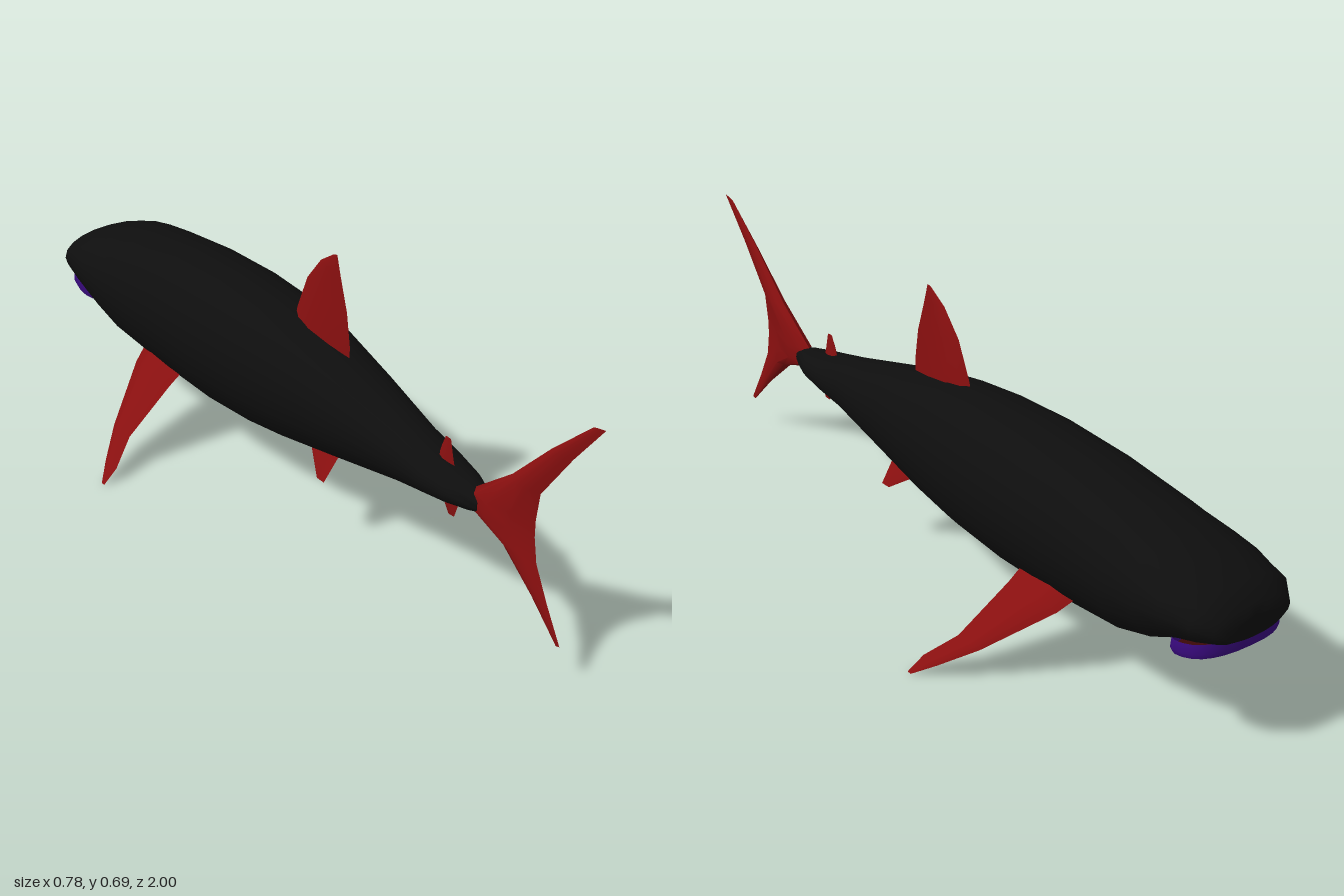
import * as THREE from 'three';
import { mergeVertices, toCreasedNormals } from 'three/addons/utils/BufferGeometryUtils.js';

const mat = (name, color, side = THREE.FrontSide) => {
  const m = new THREE.MeshStandardMaterial({ color, side });
  m.name = name;
  return m;
};

// Skins equal-sized closed rings of [x, y, z] points and caps both ends.
function loft(rings, crease = 0.7, caps = true) {
  const n = rings[0].length;
  const pos = rings.flat(2);
  const idx = [];
  for (let r = 0; r < rings.length - 1; r++) {
    for (let i = 0; i < n; i++) {
      const a = r * n + i, b = r * n + (i + 1) % n;
      idx.push(a, b, a + n, b, b + n, a + n);
    }
  }
  const last = (rings.length - 1) * n;
  if (caps) {
    for (let i = 1; i < n - 1; i++) {
      idx.push(0, i + 1, i, last, last + i, last + i + 1);
    }
  }
  // Turn the faces outward whichever way the rings run.
  const p = (i) => new THREE.Vector3().fromArray(pos, i * 3);
  const mid = new THREE.Vector3();
  for (let i = 0; i < pos.length / 3; i++) mid.addScaledVector(p(i), 3 / pos.length);
  let volume = 0;
  for (let i = 0; i < idx.length; i += 3) {
    const [a, b, c] = [0, 1, 2].map((k) => p(idx[i + k]).sub(mid));
    volume += a.dot(b.cross(c));
  }
  if (volume < 0) idx.reverse();
  const g = new THREE.BufferGeometry();
  g.setAttribute('position', new THREE.Float32BufferAttribute(pos, 3));
  g.setIndex(idx);
  return toCreasedNormals(mergeVertices(g, 1e-5), crease);
}

// Lens-shaped fin section between a leading and a trailing point.
function finRing(lead, trail, t, normal) {
  const at = (f, k) => lead.map((v, i) => v + (trail[i] - v) * f + normal[i] * t * k);
  return [at(0, 0), at(0.12, 0.65), at(0.35, 1), at(0.7, 0.6), at(1, 0),
    at(0.7, -0.6), at(0.35, -1), at(0.12, -0.65)];
}

// Upright fin on the centre line: rows of [leadZ, leadY, trailZ, trailY, halfThickness].
const uprightFin = (rows) => loft(rows.map(([lz, ly, tz, ty, t]) =>
  finRing([0, ly, lz], [0, ty, tz], t, [1, 0, 0])));

// Paired fin: rows of [x, y, leadZ, trailZ, halfThickness].
const sideFin = (rows, side, nx, ny) => loft(rows.map(([x, y, lz, tz, t]) =>
  finRing([side * x, y, lz], [side * x, y, tz], t, [side * nx, ny, 0])));

const power = (v, e) => Math.sign(v) * Math.abs(v) ** e;

export function createModel() {
  const group = new THREE.Group();
  const skin = mat('black skin', 0x0e0e0e);
  const finRed = mat('fin red', 0x880f0f);
  const lipPurple = mat('lip purple', 0x3a0a80, THREE.DoubleSide);
  const mouthRed = mat('mouth dark red', 0x3c0808, THREE.DoubleSide);
  const add = (name, geometry, material) => {
    const m = new THREE.Mesh(geometry, material);
    m.name = name;
    group.add(m);
  };

  // Body stations: z, half width, top, bottom (blunt nose at -z)
  const stations = [
    [-1.0, 0.08, 0.335, 0.285], [-0.99, 0.11, 0.357, 0.278], [-0.95, 0.142, 0.39, 0.266],
    [-0.87, 0.156, 0.42, 0.236], [-0.8, 0.159, 0.44, 0.198], [-0.7, 0.16, 0.46, 0.165],
    [-0.5, 0.16, 0.488, 0.146], [-0.3, 0.16, 0.498, 0.145], [-0.13, 0.151, 0.494, 0.157],
    [0, 0.137, 0.482, 0.175], [0.2, 0.104, 0.44, 0.21], [0.4, 0.072, 0.388, 0.248],
    [0.5, 0.066, 0.362, 0.266], [0.57, 0.055, 0.347, 0.276], [0.62, 0.036, 0.338, 0.282],
    [0.65, 0.022, 0.33, 0.288],
  ];
  const sides = 20;
  add('body', loft(stations.map(([z, w, top, bottom]) =>
    Array.from({ length: sides }, (_, i) => {
      const a = (i / sides) * Math.PI * 2;
      return [w * power(Math.sin(a), 0.9),
        (top + bottom) / 2 + (top - bottom) / 2 * power(Math.cos(a), 0.93), z];
    }))), skin);

  // Tilted mouth under the snout: purple lip band and dark red floor
  const mouthRing = (scale, lift) => Array.from({ length: 24 }, (_, i) => {
    const a = (i / 24) * Math.PI * 2;
    const z = -0.918 + 0.08 * scale * power(Math.sin(a), 0.8);
    return [0.125 * scale * power(Math.cos(a), 0.8), 0.262 - (z + 1) * 0.28 + lift, z];
  });
  add('lip', loft([mouthRing(0.98, 0.035), mouthRing(1, 0.012), mouthRing(0.96, 0)], 0.7, false), lipPurple);
  add('mouth', loft([mouthRing(0.96, 0), mouthRing(0.6, -0.004), mouthRing(0.1, -0.005)]), mouthRed);

  // Forked tail, lofted from the upper tip to the lower tip
  add('tailFin', uprightFin([
    [0.965, 0.642, 1.0, 0.65, 0.001], [0.85, 0.54, 0.915, 0.545, 0.008],
    [0.735, 0.425, 0.825, 0.42, 0.018], [0.61, 0.33, 0.815, 0.35, 0.026],
    [0.61, 0.29, 0.815, 0.31, 0.026], [0.715, 0.255, 0.825, 0.25, 0.018],
    [0.815, 0.17, 0.865, 0.17, 0.008], [0.9, 0.085, 0.912, 0.088, 0.001],
  ]), finRed);

  // Fins along the back and under the tail
  add('dorsalFin', uprightFin([
    [-0.075, 0.44, 0.155, 0.42, 0.022], [-0.055, 0.5, 0.155, 0.48, 0.019],
    [-0.015, 0.59, 0.143, 0.56, 0.011], [0.04, 0.655, 0.118, 0.64, 0.005],
    [0.09, 0.687, 0.104, 0.69, 0.001],
  ]), finRed);
  add('rearDorsalFin', uprightFin([
    [0.485, 0.34, 0.55, 0.335, 0.01], [0.5, 0.385, 0.54, 0.37, 0.006], [0.512, 0.412, 0.53, 0.412, 0.001],
  ]), finRed);
  add('analFin', uprightFin([
    [0.49, 0.29, 0.56, 0.29, 0.01], [0.51, 0.255, 0.562, 0.258, 0.006], [0.53, 0.225, 0.55, 0.225, 0.001],
  ]), finRed);

  // Paired fins
  for (const [name, side] of [['left', 1], ['right', -1]]) {
    add(name + 'PectoralFin', sideFin([
      [0.08, 0.239, -0.6, -0.4, 0.02], [0.155, 0.182, -0.565, -0.4, 0.019],
      [0.285, 0.084, -0.462, -0.385, 0.01], [0.35, 0.035, -0.395, -0.342, 0.005],
      [0.39, 0.004, -0.348, -0.336, 0.001],
    ], side, 0.6, 0.8), finRed);
    add(name + 'PelvicFin', sideFin([
      [0.03, 0.245, 0.05, 0.19, 0.009], [0.053, 0.212, 0.075, 0.182, 0.007],
      [0.088, 0.16, 0.15, 0.178, 0.001],
    ], side, 0.82, 0.57), finRed);
  }
  return group;
}
